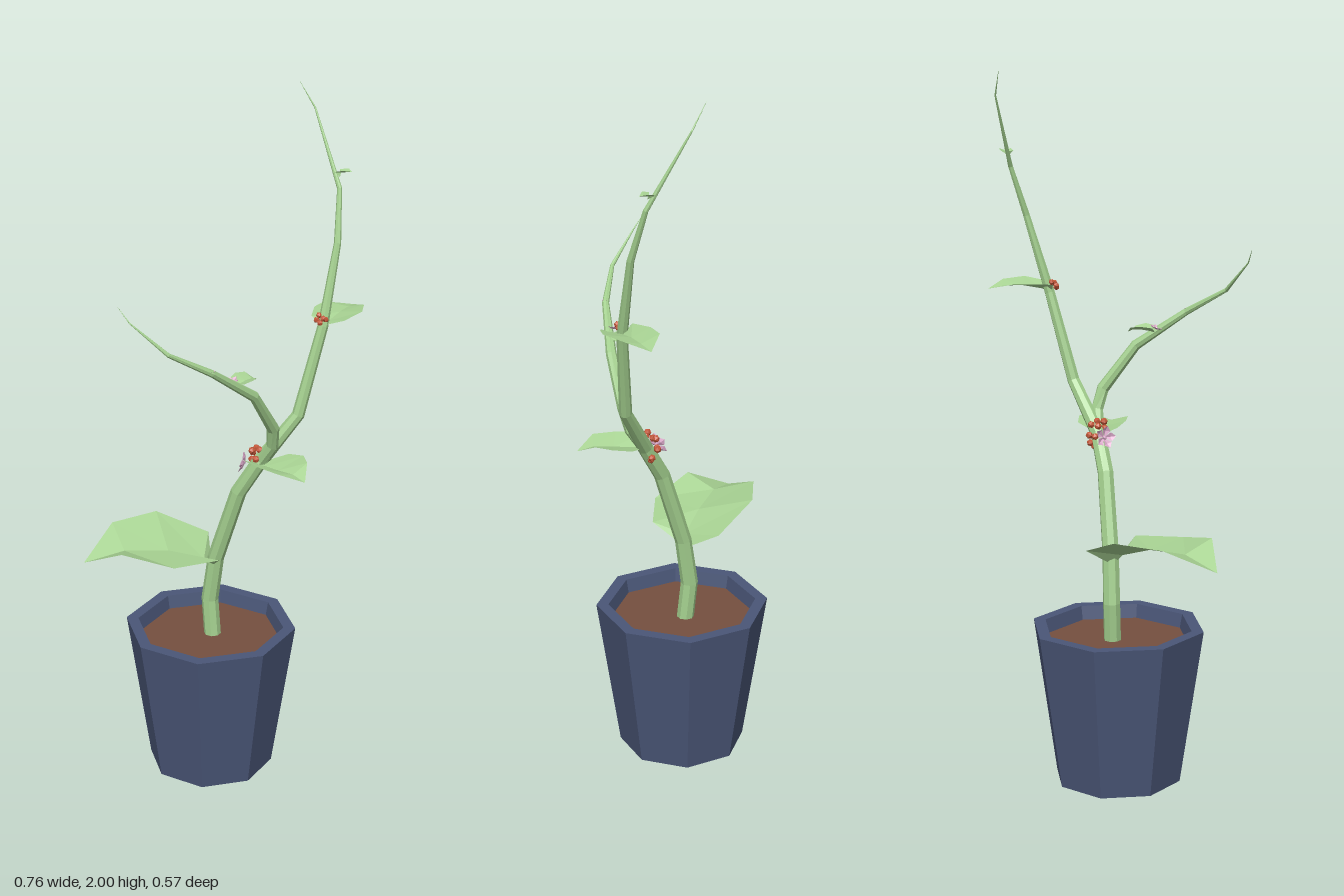
import * as THREE from 'three';

const mat = (color, side = THREE.FrontSide) =>
  new THREE.MeshStandardMaterial({ color, flatShading: true, side });
const V = (p) => new THREE.Vector3(...p);

// Tapered, faceted shoot through a list of [x, y, z, radius]
function shoot(name, pts, material, sides = 8) {
  const n = pts.length - 1;
  const geo = new THREE.CylinderGeometry(1, 1, 1, sides, n, true);
  const pos = geo.attributes.position;
  const centre = pts.map((p) => V(p.slice(0, 3)));
  const turns = centre.map((_, i) => {
    const dir = centre[Math.min(i + 1, n)].clone().sub(centre[Math.max(i - 1, 0)]).normalize();
    return new THREE.Quaternion().setFromUnitVectors(new THREE.Vector3(0, 1, 0), dir);
  });
  for (let v = 0; v < pos.count; v++) {
    const i = n - Math.floor(v / (sides + 1));
    const p = new THREE.Vector3(pos.getX(v), 0, pos.getZ(v));
    p.multiplyScalar(pts[i][3]).applyQuaternion(turns[i]).add(centre[i]);
    pos.setXYZ(v, p.x, p.y, p.z);
  }
  const mesh = new THREE.Mesh(geo, material);
  mesh.name = name;
  return mesh;
}

// Folded leaf: base, three cross-sections of [edge, rib, edge], tip
function leaf(name, base, rows, tip, material) {
  const verts = [base, ...rows.flat(), tip].flat();
  const idx = [];
  for (let s = 0; s < 2; s++) {
    idx.push(0, 1 + s, 2 + s);
    for (let r = 0; r < rows.length - 1; r++) {
      const a = 1 + r * 3 + s;
      idx.push(a, a + 3, a + 1, a + 1, a + 3, a + 4);
    }
    const e = 1 + (rows.length - 1) * 3 + s;
    idx.push(e, rows.length * 3 + 1, e + 1);
  }
  const geo = new THREE.BufferGeometry();
  geo.setAttribute('position', new THREE.Float32BufferAttribute(verts, 3));
  geo.setIndex(idx);
  geo.computeVertexNormals();
  const mesh = new THREE.Mesh(geo, material);
  mesh.name = name;
  return mesh;
}

// Five pointed petals cupped around a small centre
function flower(name, at, facing, r, material) {
  const g = new THREE.Group();
  g.name = name;
  for (let i = 0; i < 5; i++) {
    const petal = leaf('petal', [0, 0, 0],
      [[[-0.38 * r, 0.3 * r, 0.6 * r], [0, 0.12 * r, 0.6 * r], [0.38 * r, 0.3 * r, 0.6 * r]]],
      [0, 0.4 * r, r], material);
    petal.rotation.y = (i * Math.PI * 2) / 5;
    g.add(petal);
  }
  const heart = new THREE.Mesh(new THREE.IcosahedronGeometry(0.2 * r, 0), material);
  heart.name = 'flowerCentre';
  heart.position.y = 0.15 * r;
  g.add(heart);
  g.position.set(...at);
  g.quaternion.setFromUnitVectors(new THREE.Vector3(0, 1, 0), V(facing).normalize());
  return g;
}

// Cluster of faceted berries
function berries(name, at, list, r, material) {
  const g = new THREE.Group();
  g.name = name;
  list.forEach((p, i) => {
    const b = new THREE.Mesh(new THREE.IcosahedronGeometry(r, 0), material);
    b.name = 'berry';
    b.position.set(...p);
    b.rotation.set(i, i * 2, 0);
    g.add(b);
  });
  g.position.set(...at);
  return g;
}

export function createModel() {
  const model = new THREE.Group();
  model.name = 'pottedPlant';
  const green = mat(0xa3cf8e);
  const leafGreen = mat(0xa9d494, THREE.DoubleSide);
  const pink = mat(0xdcaacb, THREE.DoubleSide);
  const orange = mat(0xc4583a);

  // Octagonal pot with an open rim, and soil
  const profile = [[0, 0], [0.183, 0], [0.25, 0.45], [0.215, 0.45], [0.205, 0.4]];
  const pot = new THREE.Mesh(
    new THREE.LatheGeometry(profile.map((p) => new THREE.Vector2(...p)), 8), mat(0x4a5677));
  pot.name = 'pot';
  const soil = new THREE.Mesh(new THREE.CircleGeometry(0.208, 8), mat(0x75503f));
  soil.name = 'soil';
  soil.rotation.x = -Math.PI / 2;
  soil.position.y = 0.41;
  const potGroup = new THREE.Group();
  potGroup.name = 'pottedBase';
  potGroup.add(pot, soil);
  potGroup.position.set(-0.032, 0, -0.035);
  model.add(potGroup);

  // Stem and side branch
  model.add(shoot('stem', [
    [-0.028, 0.4, -0.05, 0.025], [-0.037, 0.52, -0.058, 0.025], [-0.018, 0.66, -0.05, 0.024],
    [0.05, 0.88, -0.028, 0.023], [0.11, 0.98, -0.018, 0.022], [0.215, 1.12, -0.04, 0.018],
    [0.275, 1.37, -0.083, 0.015], [0.305, 1.59, -0.14, 0.01], [0.303, 1.73, -0.19, 0.007],
    [0.225, 1.93, -0.273, 0.0025], [0.18, 2.0, -0.284, 0.0003]], green));
  model.add(shoot('branch', [
    [0.1, 0.96, -0.02, 0.016], [0.148, 1.04, 0.0, 0.018], [0.152, 1.1, 0.022, 0.018],
    [0.108, 1.225, 0.105, 0.015], [0.01, 1.325, 0.212, 0.01], [-0.095, 1.395, 0.279, 0.006],
    [-0.195, 1.48, 0.284, 0.002], [-0.228, 1.52, 0.274, 0.0003]], green));

  // Leaves, largest to smallest
  model.add(leaf('largeLeaf', [-0.03, 0.63, -0.05], [
    [[-0.055, 0.69, -0.15], [-0.05, 0.66, -0.03], [0.005, 0.695, 0.045]],
    [[-0.21, 0.747, -0.15], [-0.15, 0.695, 0], [-0.11, 0.705, 0.133]],
    [[-0.325, 0.742, -0.065], [-0.27, 0.705, 0.04], [-0.26, 0.737, 0.133]]],
  [-0.382, 0.675, 0.073], leafGreen));
  model.add(leaf('forkLeaf', [0.1, 0.975, -0.015], [
    [[0.19, 1.0, -0.04], [0.13, 0.98, 0.01], [0.065, 1.0, 0.02]],
    [[0.235, 1.01, -0.01], [0.17, 0.985, 0.045], [0.12, 1.005, 0.08]],
    [[0.25, 1.01, 0.04], [0.215, 0.99, 0.08], [0.175, 1.005, 0.118]]],
  [0.251, 0.98, 0.108], leafGreen));
  model.add(leaf('upperLeaf', [0.27, 1.37, -0.08], [
    [[0.335, 1.395, -0.06], [0.29, 1.38, -0.1], [0.242, 1.395, -0.09]],
    [[0.38, 1.407, -0.11], [0.315, 1.39, -0.15], [0.244, 1.4, -0.155]],
    [[0.38, 1.403, -0.18], [0.335, 1.39, -0.2], [0.267, 1.4, -0.205]]],
  [0.347, 1.382, -0.245], leafGreen));
  model.add(leaf('branchLeaf', [0.06, 1.265, 0.14], [
    [[0.09, 1.28, 0.16], [0.07, 1.268, 0.13], [0.043, 1.28, 0.12]],
    [[0.112, 1.285, 0.14], [0.085, 1.272, 0.11], [0.055, 1.285, 0.09]],
    [[0.115, 1.28, 0.11], [0.1, 1.272, 0.09], [0.078, 1.282, 0.07]]],
  [0.11, 1.265, 0.08], leafGreen));
  model.add(leaf('topLeaf', [0.303, 1.76, -0.195], [
    [[0.3, 1.775, -0.222], [0.305, 1.77, -0.203], [0.288, 1.775, -0.188]],
    [[0.325, 1.78, -0.215], [0.32, 1.773, -0.2], [0.31, 1.78, -0.184]]],
  [0.335, 1.775, -0.196], leafGreen));

  // Flowers
  model.add(flower('lowerFlower', [0.07, 0.975, -0.022], [-1, 0.25, 0], 0.033, pink));
  model.add(flower('branchFlower', [0.053, 1.275, 0.14], [-0.2, 1, 0.2], 0.021, pink));
  model.add(flower('smallFlower', [0.01, 1.33, 0.214], [0, 1, 0.1], 0.01, pink));

  // Berry clusters
  model.add(berries('forkBerries', [0.098, 0.985, -0.025], [
    [0, 0.025, -0.022], [0.012, 0.03, 0.004], [-0.008, 0.032, 0.015], [-0.008, 0.02, -0.004],
    [0.004, 0.01, 0.024], [0, -0.005, -0.028], [0.012, -0.03, -0.018], [0.005, -0.04, -0.008],
    [-0.012, -0.008, -0.016]], 0.011, orange));
  model.add(berries('upperBerries', [0.27, 1.39, -0.075], [
    [-0.012, 0, 0.004], [0.006, 0.006, 0.008], [-0.006, 0.01, -0.008], [0.012, 0, -0.002],
    [-0.002, -0.006, 0.01]], 0.009, orange));
  return model;
}
